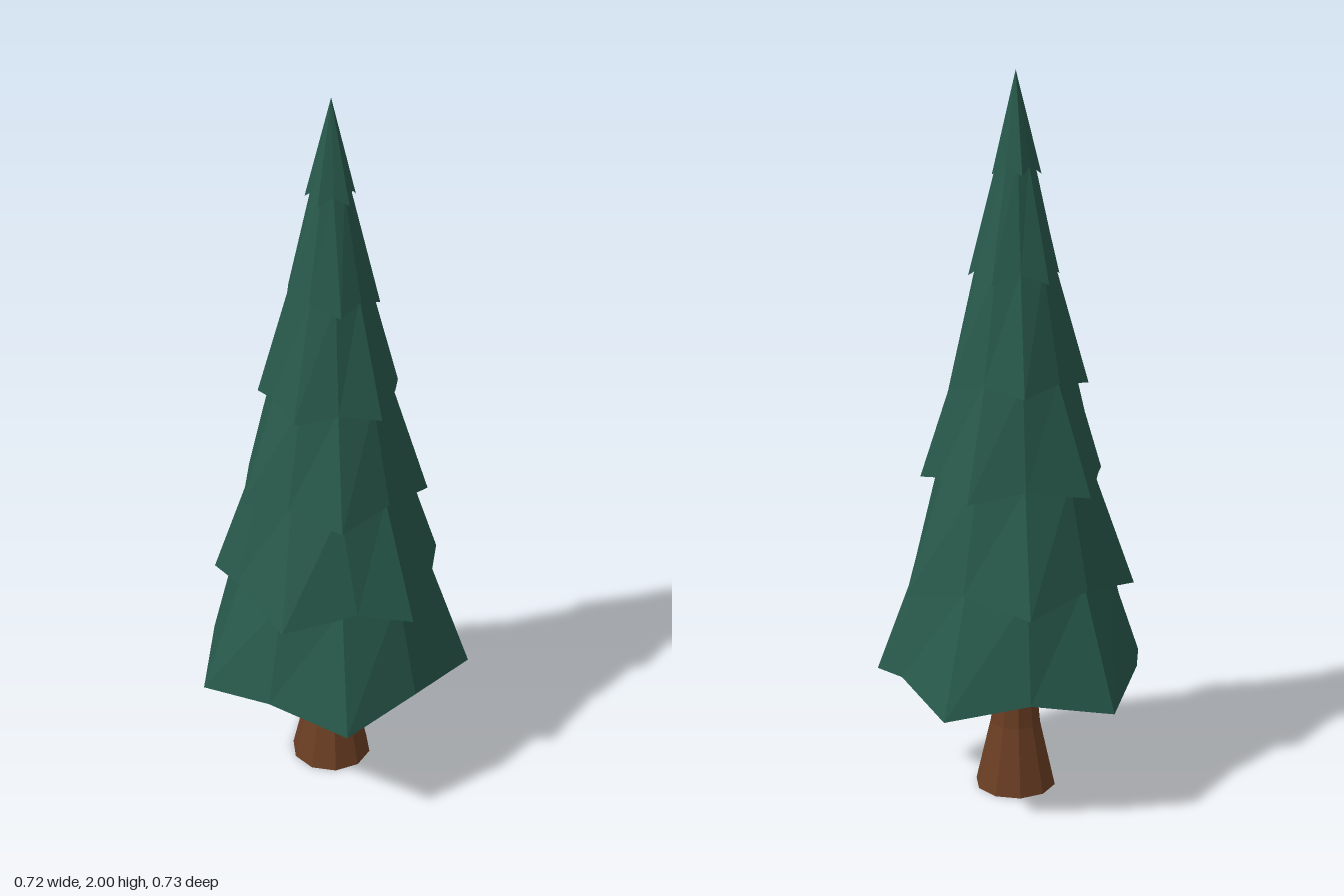
import * as THREE from 'three';

const SIDES = 10;
const AXIS = { x: 0.008, z: 0.02 };

// Each tier: tip radius/height, notch radius/height, top ring radius/height,
// and small turns (degrees) of single corners that make it look hand-cut.
const TIERS = [
  { tip: [0.387, 0.334], notch: [0.34, 0.38], top: [0.268, 0.665], turn: { 2: -7 } },
  { tip: [0.325, 0.612], notch: [0.281, 0.655], top: [0.212, 0.94], turn: { 4: -8, 5: -6, 7: -6 } },
  { tip: [0.26, 0.9], notch: [0.227, 0.935], top: [0.162, 1.21], turn: { 2: -6.5, 8: -7 } },
  { tip: [0.195, 1.176], notch: [0.17, 1.202], top: [0.106, 1.495], turn: { 2: -3, 7: -6 } },
  { tip: [0.128, 1.458], notch: [0.112, 1.488], top: [0.05, 1.765], turn: { 4: -5 } },
  { tip: [0.068, 1.735], notch: [0.054, 1.76], top: [0, 2], turn: { 9: -8 } },
];

// Ring of corners; pick(i) returns [radius, height, turn in degrees]
function ring(pick) {
  return Array.from({ length: SIDES }, (_, i) => {
    const [r, y, turn = 0] = pick(i);
    const a = THREE.MathUtils.degToRad(i * 360 / SIDES + turn);
    return [r * Math.sin(a), y, -r * Math.cos(a)];
  });
}

// Skin neighbouring rings, leaving out triangles that collapse at a point
function loft(rings) {
  const pos = [];
  const same = (p, q) => Math.hypot(p[0] - q[0], p[1] - q[1], p[2] - q[2]) < 1e-6;
  const tri = (a, b, c) => {
    if (!same(a, b) && !same(b, c) && !same(a, c)) pos.push(...a, ...b, ...c);
  };
  for (let j = 0; j < rings.length - 1; j++) {
    for (let i = 0; i < SIDES; i++) {
      const k = (i + 1) % SIDES;
      const lo = rings[j], hi = rings[j + 1];
      tri(lo[k], lo[i], hi[i]);
      tri(lo[k], hi[i], hi[k]);
    }
  }
  const geo = new THREE.BufferGeometry();
  geo.setAttribute('position', new THREE.Float32BufferAttribute(pos, 3));
  geo.computeVertexNormals();
  return geo;
}

function part(name, geometry, color) {
  const mesh = new THREE.Mesh(geometry, new THREE.MeshStandardMaterial({ color, flatShading: true }));
  mesh.name = name;
  mesh.position.set(AXIS.x, 0, AXIS.z);
  return mesh;
}

export function createModel() {
  const tree = new THREE.Group();
  tree.name = 'pineTree';

  // Foliage: one stepped skin, its tips staggered from tier to tier
  const rings = [ring(() => [0, 0.435])];
  TIERS.forEach((t, n) => {
    rings.push(ring(i => [...((i + n) % 2 === 0 ? t.tip : t.notch), t.turn[i]]));
    rings.push(ring(() => t.top));
  });
  tree.add(part('foliage', loft(rings), 0x28594b));

  // Trunk: flared at the foot, closed underneath
  const profile = [[0, 0], [0.113, 0], [0.07, 0.19], [0.052, 0.38], [0.047, 0.46]];
  tree.add(part('trunk', loft(profile.map(p => ring(() => p))), 0x6b3e24));

  return tree;
}
